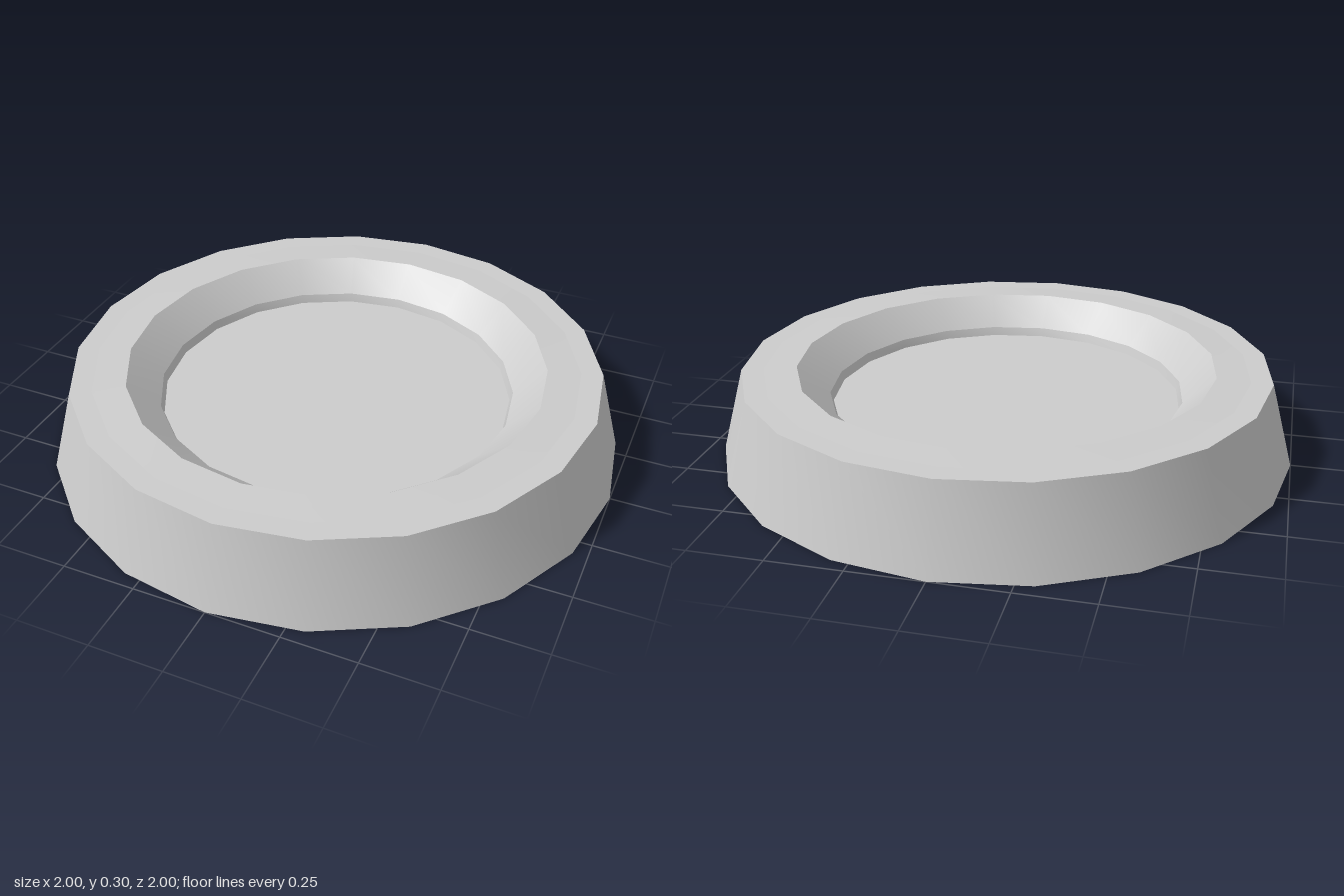
import * as THREE from 'three';
import { toCreasedNormals } from 'three/addons/utils/BufferGeometryUtils.js';

const SIDES = 20;
const material = new THREE.MeshStandardMaterial({ color: 0xcccccc });

// Turns a [radius, height] profile into a faceted ring with crisp edges
function turned(name, profile) {
  const points = profile.map(([r, y]) => new THREE.Vector2(r, y));
  const geometry = toCreasedNormals(new THREE.LatheGeometry(points, SIDES), 0.42);
  const mesh = new THREE.Mesh(geometry, material);
  mesh.name = name;
  return mesh;
}

export function createModel() {
  const group = new THREE.Group();
  group.name = 'shallowDish';
  group.add(
    // Flat underside and tapered outer wall
    turned('base', [[0, 0], [1, 0]]),
    turned('outerWall', [[1, 0], [0.92, 0.29]]),
    // Flat rim and the barely raised lip inside it
    turned('rim', [[0.92, 0.29], [0.845, 0.29]]),
    turned('innerLip', [[0.845, 0.29], [0.73, 0.296]]),
    // Sloped inner wall, steeper at its foot
    turned('innerWall', [[0.73, 0.296], [0.62, 0.195], [0.61, 0.165]]),
    turned('floor', [[0.61, 0.165], [0, 0.165]]),
  );
  return group;
}
